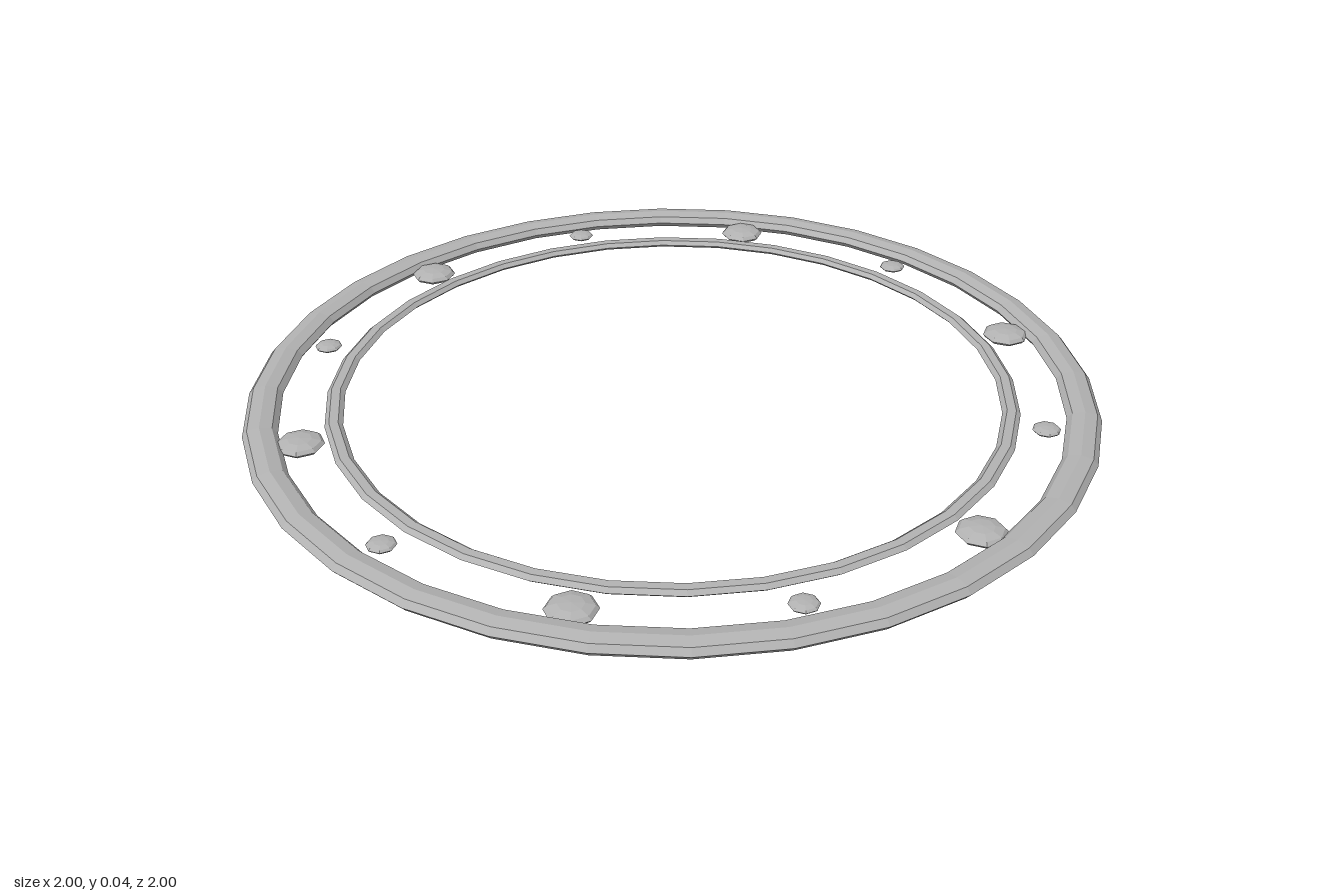
import * as THREE from 'three';

const silver = new THREE.MeshStandardMaterial({ color: 0xb2b2b2, flatShading: true });
silver.name = 'silver';

const MID = 0.02; // height of the shared centre plane

// Flattened low-poly ring lying in the ground plane
function ring(name, radius, tube, halfHeight, sides) {
  const geo = new THREE.TorusGeometry(radius, tube, sides, 32);
  geo.rotateX(-Math.PI / 2);
  geo.scale(1, halfHeight / tube, 1);
  const mesh = new THREE.Mesh(geo, silver);
  mesh.name = name;
  mesh.position.y = MID;
  return mesh;
}

// Flattened low-poly bead
function beadGeometry(radius) {
  return new THREE.SphereGeometry(radius, 8, 6).scale(1, 0.28, 1);
}

export function createModel() {
  const model = new THREE.Group();
  model.name = 'beadedRing';

  model.add(ring('outerRing', 0.96, 0.04, 0.02, 8));
  model.add(ring('innerRing', 0.795, 0.021, 0.0105, 6));

  // Large and small beads alternate between the two rings
  const large = beadGeometry(0.056);
  const small = beadGeometry(0.033);
  for (let i = 0; i < 12; i++) {
    const angle = (i * Math.PI) / 6;
    const isLarge = i % 2 === 0;
    const bead = new THREE.Mesh(isLarge ? large : small, silver);
    bead.name = isLarge ? 'largeBead' : 'smallBead';
    bead.position.set(Math.cos(angle) * 0.875, MID, Math.sin(angle) * 0.875);
    model.add(bead);
  }
  return model;
}
